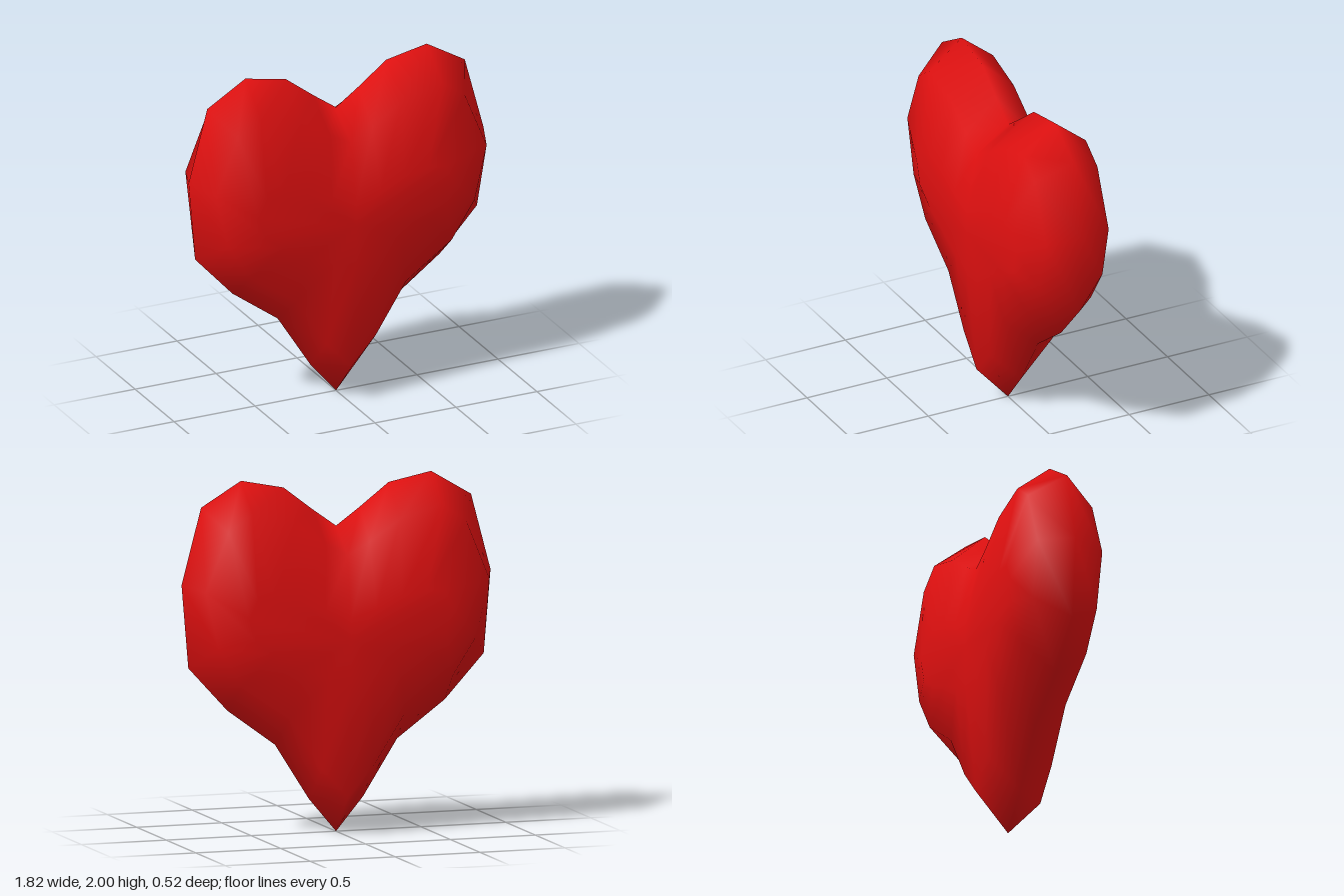
import * as THREE from 'three';

// Right half of each contour, from the notch round to the tip: [x, y]
const RIM = [[0, 1.72], [0.14, 1.82], [0.31, 1.95], [0.56, 2], [0.795, 1.86], [0.91, 1.43],
  [0.87, 0.96], [0.64, 0.71], [0.36, 0.505], [0.16, 0.19], [0, 0]];
const SHOULDER = [[0, 1.58], [0.13, 1.65], [0.31, 1.77], [0.56, 1.84], [0.7, 1.74], [0.835, 1.41],
  [0.76, 1.09], [0.62, 0.876], [0.34, 0.68], [0.15, 0.385], [0, 0.22]];
const FACE = [[0, 1.23], [0.15, 1.28], [0.3, 1.34], [0.45, 1.37], [0.55, 1.36], [0.6, 1.26],
  [0.56, 1.13], [0.45, 1.05], [0.28, 0.97], [0.13, 0.9], [0, 0.86]];

// Mirror a half contour into a closed loop
function loop(half) {
  const mirrored = half.slice(1, -1).reverse().map(([x, y]) => [-x, y]);
  return [...half, ...mirrored];
}

// Skin the contours from back to front and close both ends
function heartGeometry() {
  const rings = [[FACE, -0.26], [SHOULDER, -0.197], [RIM, 0], [SHOULDER, 0.197], [FACE, 0.26]];
  const n = loop(RIM).length;
  const positions = [];
  const index = [];
  for (const [half, z] of rings) {
    for (const [x, y] of loop(half)) positions.push(x, y, z);
  }
  const back = positions.length / 3;
  const front = back + 1;
  positions.push(0, 1.1, -0.26, 0, 1.1, 0.26);

  for (let r = 0; r < rings.length - 1; r++) {
    for (let i = 0; i < n; i++) {
      const j = (i + 1) % n;
      const a = r * n + i, b = r * n + j, c = a + n, d = b + n;
      index.push(a, c, b, b, c, d);
    }
  }
  const last = (rings.length - 1) * n;
  for (let i = 0; i < n; i++) {
    const j = (i + 1) % n;
    index.push(back, i, j);
    index.push(front, last + j, last + i);
  }

  const geometry = new THREE.BufferGeometry();
  geometry.setAttribute('position', new THREE.Float32BufferAttribute(positions, 3));
  geometry.setIndex(index);
  geometry.computeVertexNormals();
  return geometry;
}

export function createModel() {
  const red = new THREE.MeshStandardMaterial({ color: 0xe01010 });
  red.name = 'red';

  const group = new THREE.Group();
  group.name = 'heart';
  const body = new THREE.Mesh(heartGeometry(), red);
  body.name = 'heartBody';
  group.add(body);
  return group;
}
